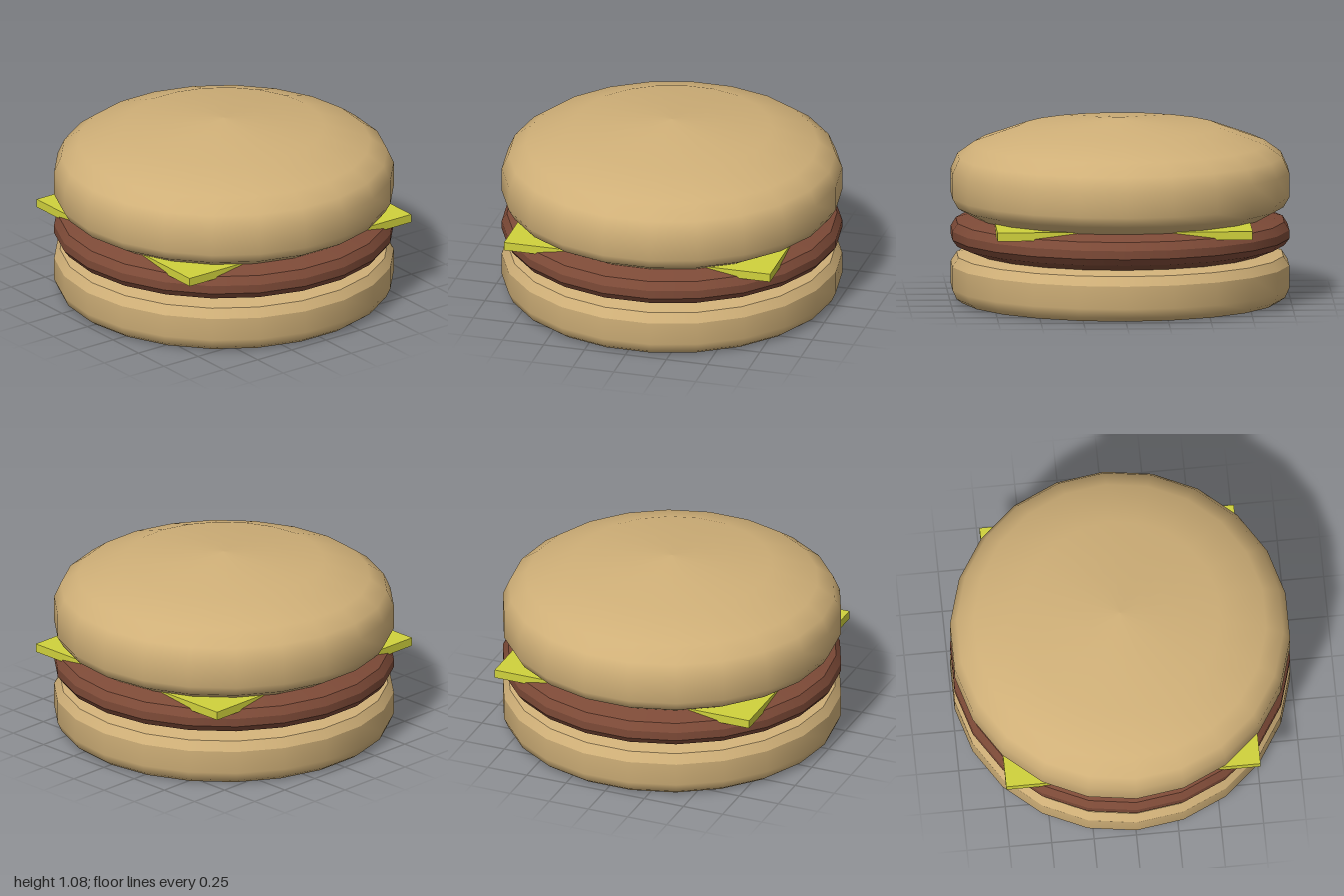
import * as THREE from 'three';
import { mergeGeometries } from 'three/addons/utils/BufferGeometryUtils.js';

const SIDES = 22;

// Revolves each band of [radius, y] points on its own, so edges between bands stay sharp.
function turned(bands) {
  return mergeGeometries(bands.map((band) =>
    new THREE.LatheGeometry(band.map(([r, y]) => new THREE.Vector2(r, y)), SIDES)));
}

// Splits a profile into one band per segment.
const sharp = (pts) => pts.slice(1).map((p, i) => [pts[i], p]);

function material(name, color) {
  const m = new THREE.MeshStandardMaterial({ color });
  m.name = name;
  return m;
}

export function createModel() {
  const group = new THREE.Group();
  group.name = 'burger';
  const bread = material('bread', 0xd0b078);
  const meat = material('meat', 0x7d4a37);
  const cheese = material('cheese', 0xd0d23c);

  const add = (name, geometry, mat) => {
    const mesh = new THREE.Mesh(geometry, mat);
    mesh.name = name;
    group.add(mesh);
    return mesh;
  };

  // Bottom bun: flat base, rounded wall, bevelled top
  add('bottomBun', turned([
    [[0, 0], [0.94, 0]],
    [[0.94, 0], [0.975, 0.025], [1, 0.08], [1, 0.215]],
    ...sharp([[1, 0.215], [0.965, 0.27], [0.865, 0.292], [0, 0.292]]),
  ]), bread);

  // Patty: bevelled disc
  add('patty', turned(sharp([
    [0, 0.293], [0.865, 0.293], [0.97, 0.335], [1, 0.375],
    [1, 0.425], [0.97, 0.473], [0.865, 0.505], [0, 0.505],
  ])), meat);

  // Square cheese slice with its corners sticking out
  add('cheeseSlice', new THREE.BoxGeometry(1.5, 0.05, 1.625), cheese).position.y = 0.487;

  // Top bun: smooth dome
  add('topBun', turned([
    [[0, 0.505], [0.865, 0.505]],
    [[0.865, 0.505], [0.965, 0.56], [1, 0.62], [1, 0.765], [0.96, 0.855],
      [0.86, 0.927], [0.59, 1.025], [0, 1.08]],
  ]), bread);

  return group;
}
